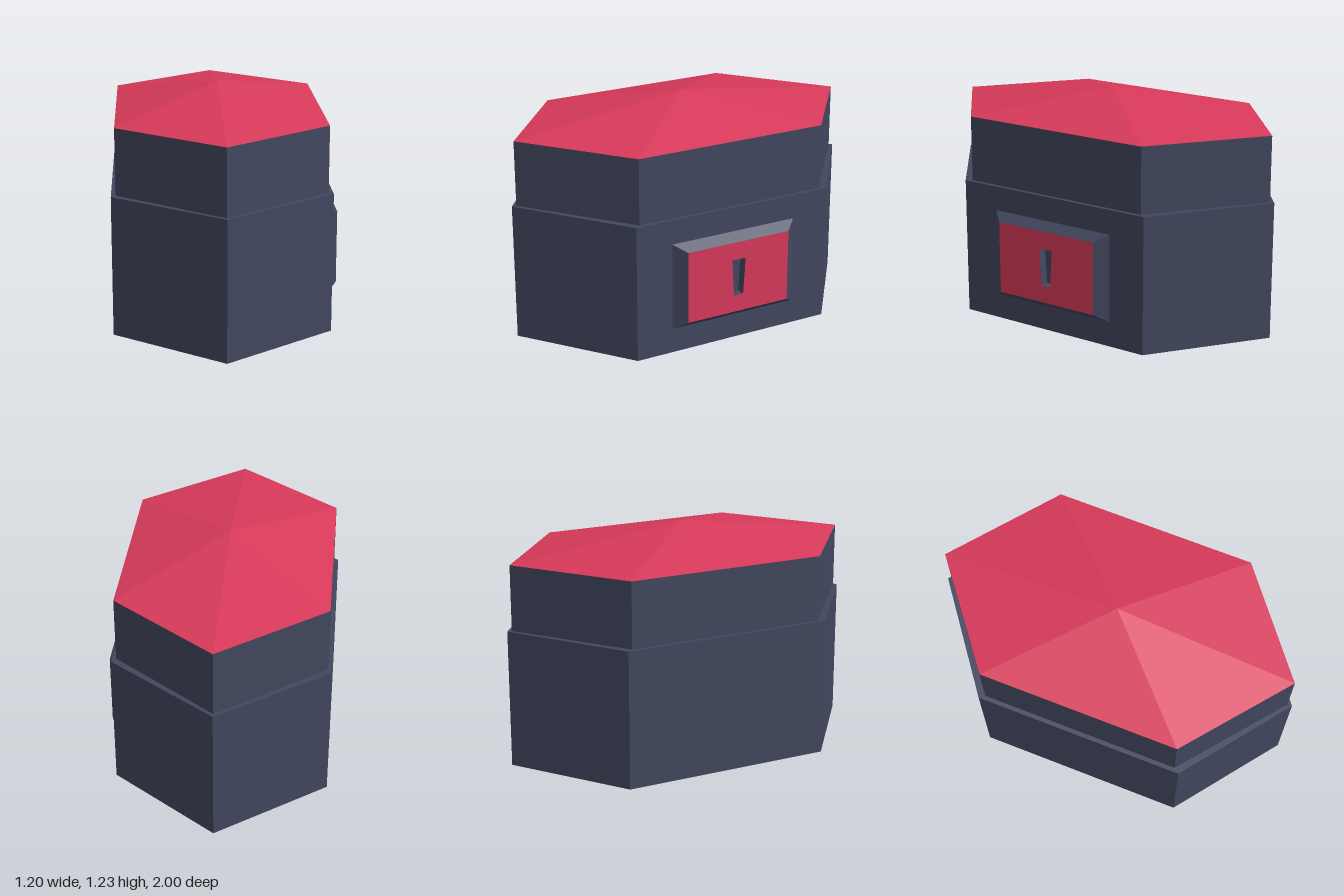
import * as THREE from 'three';

const V = (x, y, z) => new THREE.Vector3(x, y, z);
const CX = -0.03; // axis of the hexagonal box

// Flat-sided band joining pairs of matching loops, with an optional cap on the last loop
function loft(loops, capEnd = false, capStart = false) {
  const pts = [];
  for (let k = 0; k < loops.length - 1; k++) {
    const a = loops[k], b = loops[k + 1], n = a.length;
    for (let i = 0; i < n; i++) {
      const j = (i + 1) % n;
      pts.push(a[i], a[j], b[j], a[i], b[j], b[i]);
    }
  }
  const first = loops[0], last = loops[loops.length - 1];
  for (let i = 1; i < first.length - 1; i++) {
    if (capEnd) pts.push(last[0], last[i], last[i + 1]);
    if (capStart) pts.push(first[0], first[i + 1], first[i]);
  }
  const geo = new THREE.BufferGeometry().setFromPoints(pts);
  geo.computeVertexNormals();
  return geo;
}

// Elongated hexagon at height y, counterclockwise seen from above
const hexagon = (y, halfWidth, sideZ, tipZ) => [
  [0, tipZ], [halfWidth, sideZ], [halfWidth, -sideZ],
  [0, -tipZ], [-halfWidth, -sideZ], [-halfWidth, sideZ],
].map(([x, z]) => V(CX + x, y, z));

// Upright trapezoid facing +x
const panel = (x, bottom, top, halfBottom, halfTop) => [
  V(x, bottom, halfBottom), V(x, bottom, -halfBottom),
  V(x, top, -halfTop), V(x, top, halfTop),
];

export function createModel() {
  const group = new THREE.Group();
  const slate = new THREE.MeshStandardMaterial({ name: 'slate', color: 0x42475f });
  const crimson = new THREE.MeshStandardMaterial({ name: 'crimson', color: 0xd83a5a });

  const add = (name, geo, mat) => {
    const mesh = new THREE.Mesh(geo, mat);
    mesh.name = name;
    group.add(mesh);
  };

  // Box and its slightly narrower upper section
  add('lowerBody', loft([hexagon(0, 0.57, 0.57, 1), hexagon(0.745, 0.57, 0.57, 1)], true, true), slate);
  add('upperBody', loft([hexagon(0.745, 0.547, 0.54, 0.975), hexagon(1.098, 0.547, 0.54, 0.975)]), slate);

  // Shallow six-sided roof
  add('roof', loft([hexagon(1.098, 0.547, 0.54, 0.975), hexagon(1.228, 0, 0, 0)]), crimson);

  // Lock plate on the left side: bevelled rim, red face, recessed keyhole
  const faceX = 0.595;
  const rim = panel(faceX, 0.178, 0.573, 0.302, 0.302);
  const keyhole = (x) => panel(x, 0.272, 0.475, 0.028, 0.04);
  add('lockRim', loft([panel(0.54, 0.135, 0.613, 0.365, 0.365), rim]), slate);
  add('lockFace', loft([rim, keyhole(faceX)]), crimson);
  add('keyhole', loft([keyhole(faceX), keyhole(0.545)], true), slate);

  return group;
}
